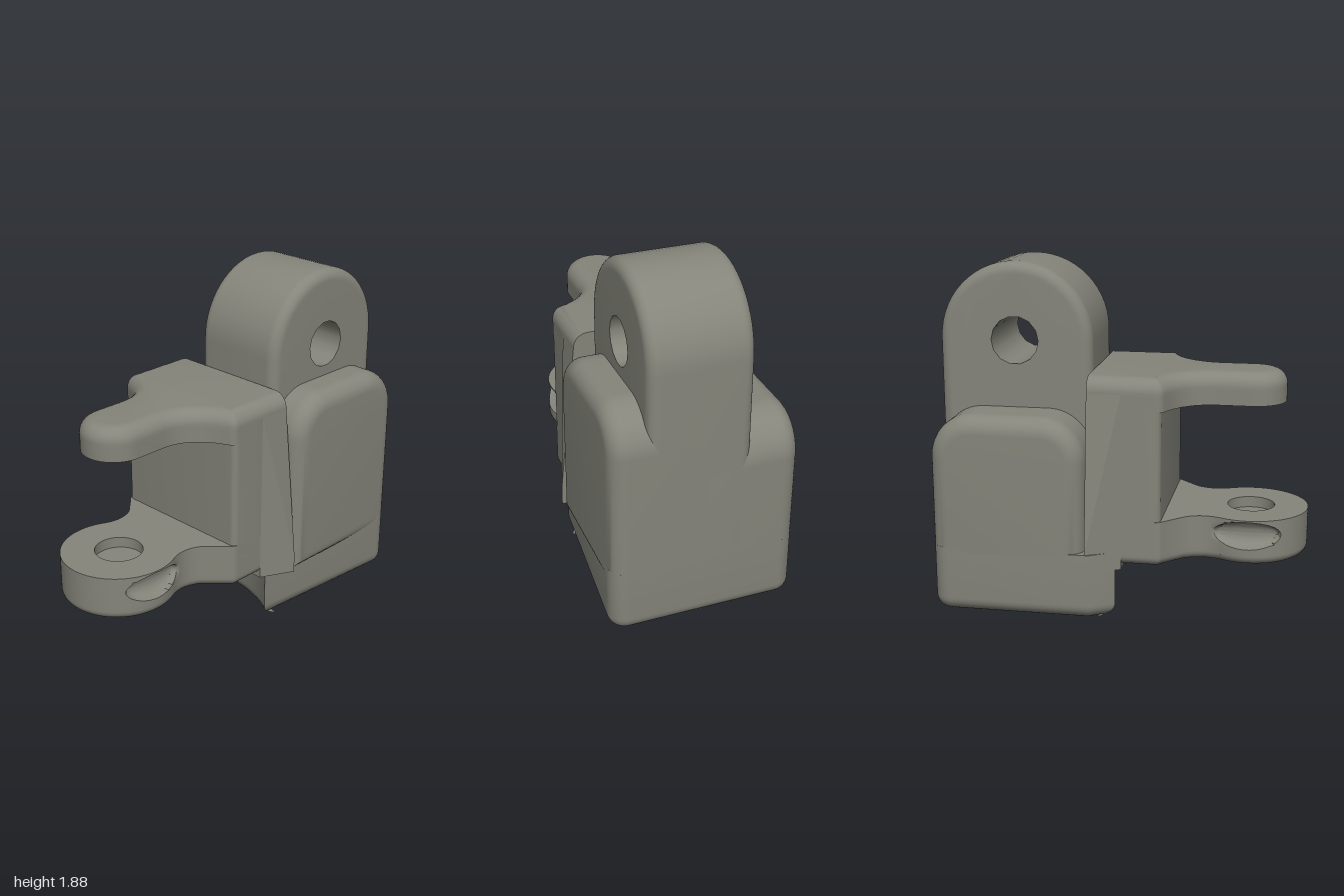
import * as THREE from 'three';
import { toCreasedNormals } from 'three/addons/utils/BufferGeometryUtils.js';
import { ConvexGeometry } from 'three/addons/geometries/ConvexGeometry.js';

const PIN_X = -0.69, RING_R = 0.313, BRACKET_END = 0.153, BLOCK_X = 0.159;

// Slab from z = 0 to depth; each end is either rounded by bevel or left sharp.
// Optional hole {x, y, r} keeps straight walls; rule(v) adjusts vertices.
function slab(shape, depth, bevel, { lo = true, hi = true, hole, steps = 1, rule, sides = 12 } = {}) {
  if (hole) {
    const path = new THREE.Path();
    path.absarc(hole.x, hole.y, hole.r, 0, Math.PI * 2, true);
    shape.holes.push(path);
  }
  const a = lo ? bevel : 0, b = hi ? bevel : 0;
  const geo = new THREE.ExtrudeGeometry(shape, {
    depth: depth - a - b, steps, curveSegments: sides,
    bevelThickness: bevel, bevelSize: bevel, bevelOffset: -bevel, bevelSegments: 8,
  });
  const pos = geo.attributes.position, v = new THREE.Vector3();
  for (let i = 0; i < pos.count; i++) {
    v.fromBufferAttribute(pos, i);
    v.z = THREE.MathUtils.clamp(v.z + a, 0, depth);
    if (hole) {
      const dx = v.x - hole.x, dy = v.y - hole.y, d = Math.hypot(dx, dy);
      if (d < hole.r + bevel * 1.05) {
        v.x = hole.x + dx * hole.r / d;
        v.y = hole.y + dy * hole.r / d;
      }
    }
    if (rule) rule(v);
    pos.setXYZ(i, v.x, v.y, v.z);
  }
  return toCreasedNormals(geo, 0.6);
}

// Rectangle with rounded top corners
function archShape(x0, x1, y0, y1, r) {
  const s = new THREE.Shape();
  s.moveTo(x0, y0);
  s.lineTo(x1, y0);
  s.absarc(x1 - r, y1 - r, r, 0, Math.PI / 2, false);
  s.absarc(x0 + r, y1 - r, r, Math.PI / 2, Math.PI, false);
  return s;
}

// Base plan: chamfered inner corners, concave clearance facing the pin
function baseShape() {
  const s = new THREE.Shape(), r = 0.095;
  const ang = Math.atan2(0.43, -PIN_X), R = Math.hypot(0.43, PIN_X);
  s.moveTo(0.13, -0.51);
  s.absarc(1 - r, -0.51 + r, r, -Math.PI / 2, 0, false);
  s.absarc(1 - r, 0.51 - r, r, 0, Math.PI / 2, false);
  s.lineTo(0.13, 0.51);
  s.absarc(PIN_X, 0, R, ang, -ang, true);
  return s;
}

// Lower plate plan: round eye, narrow neck, wide root
function lowerPlateShape() {
  const s = new THREE.Shape(), a = Math.atan2(0.28, 0.14);
  s.moveTo(0.1, 0.42);
  s.lineTo(-0.21, 0.42);
  s.quadraticCurveTo(-0.235, 0.42, -0.25, 0.4);
  s.lineTo(-0.36, 0.29);
  s.quadraticCurveTo(-0.45, 0.235, -0.55, 0.28);
  s.absarc(PIN_X, 0, RING_R, a, Math.PI * 2 - a, false);
  s.quadraticCurveTo(-0.45, -0.235, -0.36, -0.29);
  s.lineTo(-0.25, -0.4);
  s.quadraticCurveTo(-0.235, -0.42, -0.21, -0.42);
  s.lineTo(0.1, -0.42);
  return s;
}

// Upper plate plan: slim finger flaring to the bracket width
function upperPlateShape(xEnd) {
  const s = new THREE.Shape();
  s.moveTo(xEnd, 0.42);
  s.lineTo(-0.21, 0.42);
  s.quadraticCurveTo(-0.24, 0.42, -0.255, 0.39);
  s.quadraticCurveTo(-0.34, 0.18, -0.52, 0.18);
  s.absarc(PIN_X, 0, 0.18, Math.PI / 2, Math.PI * 1.5, false);
  s.lineTo(-0.52, -0.18);
  s.quadraticCurveTo(-0.34, -0.18, -0.255, -0.39);
  s.quadraticCurveTo(-0.24, -0.42, -0.21, -0.42);
  s.lineTo(xEnd, -0.42);
  return s;
}

export function createModel() {
  const model = new THREE.Group();
  const material = new THREE.MeshStandardMaterial({ color: 0x85857b });
  const add = (name, geo, x = 0, y = 0, z = 0) => {
    const mesh = new THREE.Mesh(geo, material);
    mesh.name = name;
    mesh.position.set(x, y, z);
    model.add(mesh);
  };
  const flat = (geo) => geo.rotateX(-Math.PI / 2);

  // Block: base, two side cheeks of different height, tall lug with eye
  add('base', flat(slab(baseShape(), 0.37, 0.08, { hi: false })));
  add('frontCheek', slab(archShape(BLOCK_X, 1, 0.25, 1.28, 0.24), 0.51, 0.095, { lo: false }));
  add('backCheek', slab(archShape(BLOCK_X, 1, 0.25, 1.1, 0.24), 0.51, 0.095, { hi: false }), 0, 0, -0.51);
  add('lug', slab(archShape(BLOCK_X, 1, 0.2, 1.885, 0.42), 0.555, 0.06,
    { hole: { x: 0.58, y: 1.465, r: 0.13 }, sides: 7 }), 0, 0, -0.235);

  // Bracket: upright web and flared back, separated from the block by a slit
  const web = flat(slab(archShape(-0.42, 0.42, 0, 0.24, 0.035), 0.87, 0.01, { lo: false, hi: false }));
  add('bracketWeb', web.rotateY(Math.PI / 2), 0, 0.36, 0);
  const flare = [];
  for (const s of [1, -1]) {
    for (const [x, y, z] of [[-0.03, 1.23, 0.42], [-0.03, 0.27, 0.42], [BRACKET_END, 1.23, 0.42],
      [BRACKET_END, 0.37, 0.51], [BRACKET_END, 0.27, 0.51]]) flare.push(new THREE.Vector3(x, y, z * s));
  }
  add('bracketFlare', new ConvexGeometry(flare));

  // Upper arm: holed lower layer and rounded top layer that closes the pin recess
  const pin = { x: PIN_X, y: 0, r: 0.13 };
  add('upperArmUnderside', flat(slab(upperPlateShape(BRACKET_END), 0.085, 0.01,
    { lo: false, hi: false, hole: pin })), 0, 1.14, 0);
  add('upperArm', flat(slab(upperPlateShape(BRACKET_END + 0.1), 0.09, 0.08,
    { lo: false, rule: (v) => { v.x = Math.min(v.x, BRACKET_END); } })), 0, 1.225, 0);

  // Lower ring plate, rounded underneath, with crisp oval side dents
  const dent = (v) => {
    const dx = (v.x - PIN_X) / 0.18, dz = (v.z - 0.165) / 0.077, e = Math.hypot(dx, dz);
    if (Math.abs(v.y) < 0.2 || e > 1.07) return;
    const side = Math.sign(v.y);
    if (e > 0.93) {
      v.x = PIN_X + 0.18 * dx / e;
      v.z = 0.165 + 0.077 * dz / e;
      v.y = side * Math.sqrt(RING_R ** 2 - (v.x - PIN_X) ** 2);
    } else {
      v.y -= side * 0.07 * Math.sqrt(1 - e * e);
    }
  };
  add('lowerRing', flat(slab(lowerPlateShape(), 0.25, 0.05,
    { hi: false, hole: pin, steps: 20, rule: dent, sides: 32 })), 0, 0.295, 0);
  add('lowerRecessFloor', new THREE.CylinderGeometry(0.13, 0.13, 0.19, 64), PIN_X, 0.39, 0);

  return model;
}
